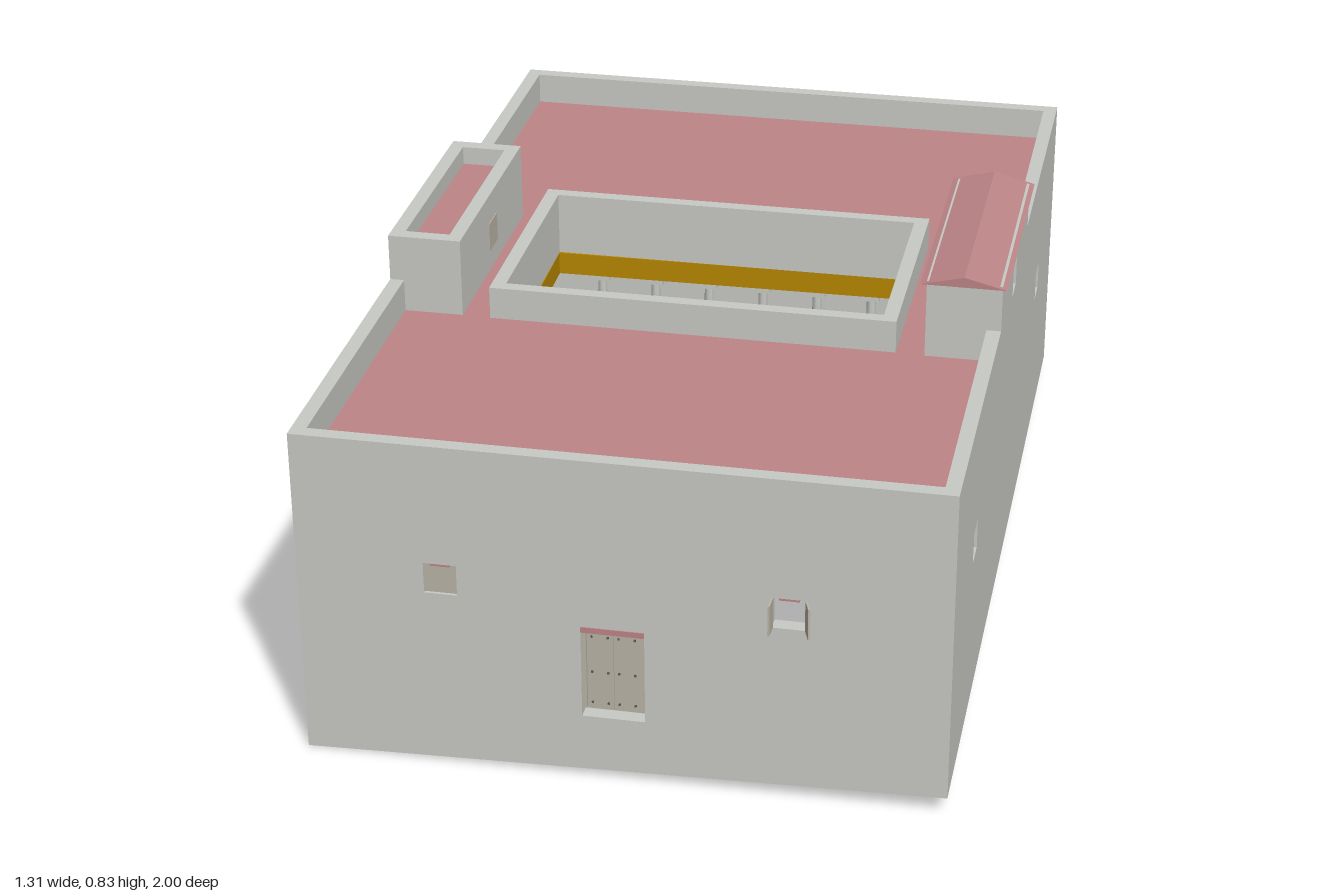
import * as THREE from 'three';

const wallMat = new THREE.MeshStandardMaterial({ color: 0xc8cac5, side: THREE.DoubleSide });
wallMat.name = 'plaster grey';
const tileMat = new THREE.MeshStandardMaterial({ color: 0xbd8587 });
tileMat.name = 'terracotta pink';
const timberMat = new THREE.MeshStandardMaterial({ color: 0xb58500 });
timberMat.name = 'ochre timber';
const shutterMat = new THREE.MeshStandardMaterial({ color: 0xbab4a6 });
shutterMat.name = 'beige wood';
const studMat = new THREE.MeshStandardMaterial({ color: 0x5c5850 });
studMat.name = 'dark iron';

const HX = 0.645, HZ = 0.963, T = 0.03;
const FLOOR = 0.14, CEILING = 0.57, ROOF = 0.64, TOP = 0.71, TOWER = 0.81;
const WIN = 0.033; // half size of a window

function add(parent, geo, mat, name, x = 0, y = 0, z = 0) {
  const m = new THREE.Mesh(geo, mat);
  m.name = name;
  m.position.set(x, y, z);
  parent.add(m);
  return m;
}

// Box given by its limits
function block(parent, name, mat, x0, x1, y0, y1, z0, z1) {
  return add(parent, new THREE.BoxGeometry(x1 - x0, y1 - y0, z1 - z0), mat, name,
    (x0 + x1) / 2, (y0 + y1) / 2, (z0 + z1) / 2);
}

const rectPoints = (a, b, c, d) =>
  [[a, c], [b, c], [b, d], [a, d]].map(p => new THREE.Vector2(...p));

// Flat rectangular frame, or slab with an opening
function ring(parent, name, mat, ox, oz, ix, iz, y0, y1) {
  const s = new THREE.Shape(rectPoints(-ox, ox, -oz, oz));
  s.holes.push(new THREE.Path(rectPoints(-ix, ix, -iz, iz)));
  const g = new THREE.ExtrudeGeometry(s, { depth: y1 - y0, bevelEnabled: false });
  g.rotateX(-Math.PI / 2);
  return add(parent, g, mat, name, 0, y0, 0);
}

// Shutters: closed, opened outwards or opened inwards
function shutters(wall, { u, y, state }) {
  block(wall, 'windowLintel', tileMat, u - 0.02, u + 0.02, y + WIN - 0.005, y + WIN, 0.001, T - 0.001);
  for (const s of [-1, 1]) {
    const hinge = new THREE.Group();
    hinge.name = 'shutter';
    hinge.position.set(u + s * WIN, y, state === 'in' ? 0 : state === 'out' ? T : T - 0.008);
    const leaf = block(hinge, 'shutterLeaf', shutterMat, -WIN, 0, -WIN, WIN, -0.002, 0.002);
    leaf.position.x *= s;
    const angle = { closed: 0, out: s > 0 ? 1.9 : 1.6, in: -1.5 }[state];
    hinge.rotation.y = s * angle;
    wall.add(hinge);
  }
}

// Wall panel with windows; local x runs along the wall, local z points out
function wallPanel(parent, name, half, tower, windows, extraHole) {
  const wall = new THREE.Group();
  wall.name = name;
  const pts = [[-half, FLOOR], [half, FLOOR], [half, TOP]];
  if (tower) pts.push([tower, TOP], [tower, TOWER], [-tower, TOWER], [-tower, TOP]);
  pts.push([-half, TOP]);
  const s = new THREE.Shape(pts.map(p => new THREE.Vector2(...p)));
  for (const { u, y } of windows) {
    s.holes.push(new THREE.Path(rectPoints(u - WIN, u + WIN, y - WIN, y + WIN)));
  }
  if (extraHole) s.holes.push(new THREE.Path(extraHole));
  add(wall, new THREE.ExtrudeGeometry(s, { depth: T, bevelEnabled: false }), wallMat, name + 'Panel');
  windows.forEach(w => shutters(wall, w));
  parent.add(wall);
  return wall;
}

export function createModel() {
  const model = new THREE.Group();
  model.name = 'courtyardHouse';
  const house = new THREE.Group();
  house.name = 'house';
  house.rotation.y = -0.0115;
  model.add(house);

  // Outer walls
  const win = (u, state, y = 0.42) => ({ u, y, state });
  const front = wallPanel(house, 'frontWall', HX, 0,
    [win(-0.355, 'closed'), win(0.33, 'out')], rectPoints(-0.078, 0.048, FLOOR + 0.001, 0.345));
  front.position.z = HZ - T;
  const back = wallPanel(house, 'backWall', HX, 0, [win(-0.32, 'out'), win(0.3, 'out')]);
  back.rotation.y = Math.PI;
  back.position.z = -HZ + T;
  const leftSide = wallPanel(house, 'leftWall', HZ - T, 0.265,
    [win(-0.62, 'closed'), win(0.605, 'in'), win(0, 'in', 0.712)]);
  leftSide.rotation.y = Math.PI / 2;
  leftSide.position.x = HX - T;
  const rightSide = wallPanel(house, 'rightWall', HZ - T, 0.26,
    [win(-0.63, 'in'), win(0.61, 'closed'), win(0, 'closed', 0.712)]);
  rightSide.rotation.y = -Math.PI / 2;
  rightSide.position.x = -HX + T;

  // Thin base skirt following sloping ground
  const corners = [[-HX, HZ, 0], [HX, HZ, 0.04], [HX, -HZ, 0.045], [-HX, -HZ, 0.02]];
  const skirt = [];
  corners.forEach(([x, z, y], i) => {
    const [x2, z2, y2] = corners[(i + 1) % 4];
    skirt.push(x, y, z, x2, y2, z2, x2, FLOOR, z2, x, y, z, x2, FLOOR, z2, x, FLOOR, z);
  });
  const skirtGeo = new THREE.BufferGeometry();
  skirtGeo.setAttribute('position', new THREE.Float32BufferAttribute(skirt, 3));
  skirtGeo.computeVertexNormals();
  add(house, skirtGeo, wallMat, 'baseSkirt');

  // Front door with lintel and studs
  block(front, 'doorLintel', tileMat, -0.078, 0.048, 0.333, 0.345, 0, T + 0.002);
  for (const x of [-0.078, 0.038]) {
    block(front, 'doorJamb', shutterMat, x, x + 0.01, 0.16, 0.333, 0.002, T - 0.002);
  }
  for (const x of [-0.068, -0.0145]) {
    block(front, 'doorLeaf', shutterMat, x, x + 0.0525, 0.155, 0.333, 0.012, 0.02);
    for (const y of [0.17, 0.24, 0.32]) {
      for (const dx of [0.01, 0.042]) {
        block(front, 'doorStud', studMat, x + dx - 0.002, x + dx + 0.002, y - 0.002, y + 0.002, 0.02, 0.023);
      }
    }
  }

  // Roof terrace and courtyard parapet
  ring(house, 'roofSlab', wallMat, HX - T, HZ - T, 0.41, 0.245, CEILING, ROOF - 0.004);
  ring(house, 'roofTiles', tileMat, HX - T, HZ - T, 0.41, 0.245, ROOF - 0.004, ROOF);
  ring(house, 'courtyardParapet', wallMat, 0.43, 0.262, 0.4, 0.234, CEILING, TOP);

  // Courtyard timber frames and colonnade
  const court = new THREE.Group();
  court.name = 'colonnade';
  model.add(court);
  ring(court, 'upperBeam', timberMat, 0.47, 0.31, 0.397, 0.233, 0.52, CEILING);
  ring(court, 'lowerSill', timberMat, 0.475, 0.315, 0.395, 0.232, 0.145, 0.19);
  const shaft = new THREE.CylinderGeometry(0.01, 0.012, 0.33, 8);
  const cap = new THREE.BoxGeometry(0.04, 0.02, 0.04);
  const column = (x, z) => {
    add(court, shaft, wallMat, 'columnShaft', x, 0.355, z);
    add(court, cap, wallMat, 'columnCapital', x, 0.51, z);
    add(court, cap, wallMat, 'columnBase', x, 0.2, z);
  };
  for (const s of [-1, 1]) {
    for (let i = 0; i < 8; i++) column(-0.43 + i * 0.86 / 7, s * 0.272);
    for (let i = 1; i < 5; i++) column(s * 0.43, -0.272 + i * 0.544 / 5);
  }

  // Roof turrets: one open with a sunken terrace, one under a gable
  for (const [s, half] of [[-1, 0.26], [1, 0.265]]) {
    const turret = new THREE.Group();
    turret.name = s < 0 ? 'openTurret' : 'gabledTurret';
    house.add(turret);
    const inner = s * 0.49, outer = s * (HX - T);
    const a = Math.min(inner, outer), b = Math.max(inner, outer);
    for (const k of [-1, 1]) {
      const z = k * (half - T / 2);
      block(turret, 'turretEndWall', wallMat, a, b, ROOF, TOWER, z - T / 2, z + T / 2);
    }
    const xi = s * (0.49 + T / 2);
    block(turret, 'turretInnerWall', wallMat, xi - T / 2, xi + T / 2, ROOF, TOWER, -half + T, half - T);
    block(turret, 'turretShutter', shutterMat, inner - 0.002, inner + 0.002, 0.685, 0.748, -WIN, WIN);
    if (s < 0) {
      block(turret, 'turretTerrace', tileMat, a, b - T, 0.764, 0.77, -half + T, half - T);
    } else {
      const gable = new THREE.Shape([[0.478, 0.806], [0.655, 0.806], [0.567, 0.828]]
        .map(p => new THREE.Vector2(...p)));
      add(turret, new THREE.ExtrudeGeometry(gable, { depth: 0.55, bevelEnabled: false }),
        tileMat, 'gableRoof', 0, 0, -0.275);
    }
  }
  return model;
}
